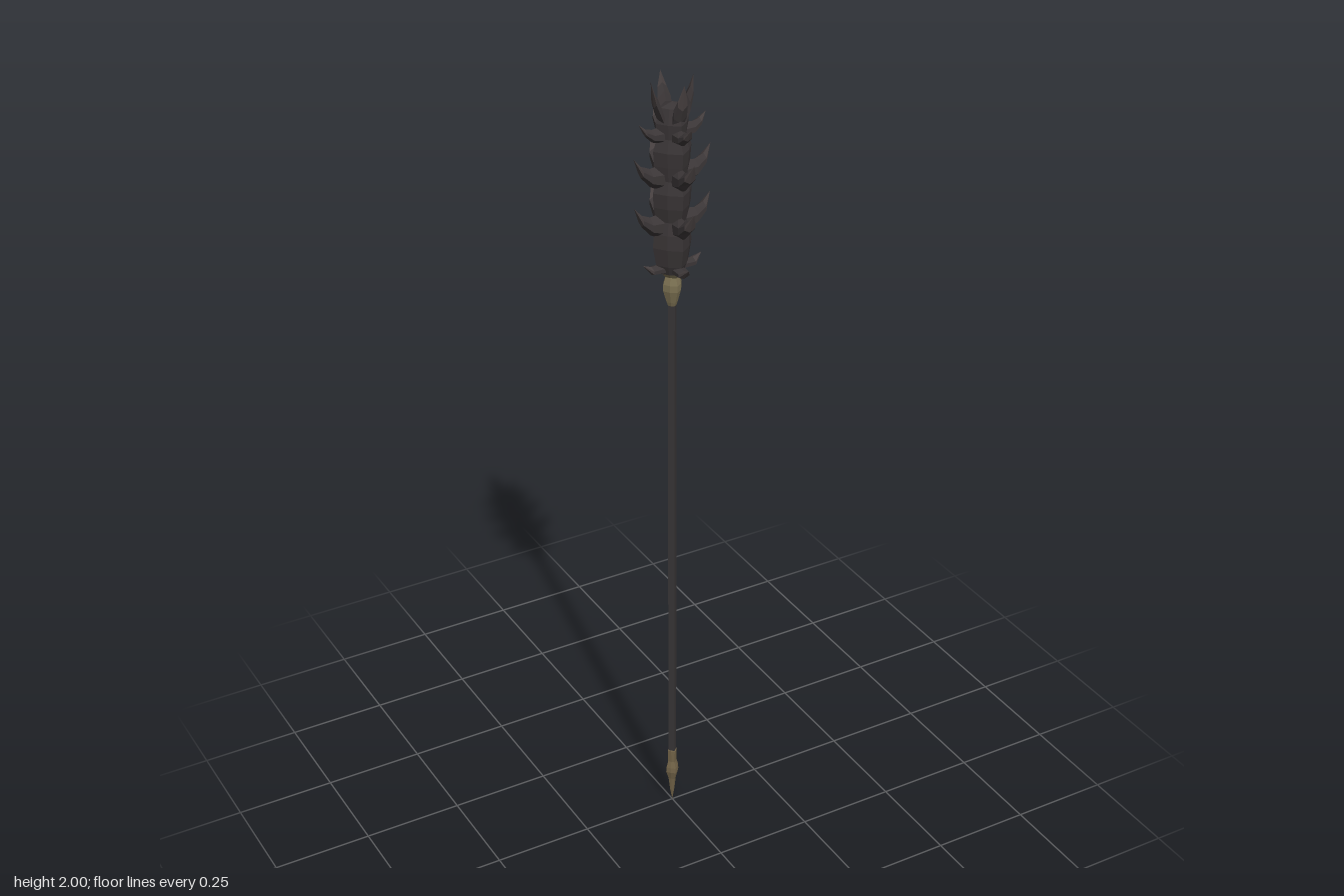
import * as THREE from 'three';

const material = (name, color) =>
  new THREE.MeshStandardMaterial({ name, color, flatShading: true });

// Turned part from [radius, y] points, corners on the axes;
// waist pulls in the diagonal corners of an eight-sided part
function turned(name, points, mat, sides, waist = 1) {
  const geometry = new THREE.LatheGeometry(
    points.map(([r, y]) => new THREE.Vector2(r, y)), sides);
  const p = geometry.attributes.position;
  for (let i = 0; i < p.count; i++) {
    const s = Math.abs(p.getX(i) * p.getZ(i)) > 1e-8 ? waist : 1;
    p.setXYZ(i, p.getX(i) * s, p.getY(i), p.getZ(i) * s);
  }
  geometry.computeVertexNormals();
  const mesh = new THREE.Mesh(geometry, mat);
  mesh.name = name;
  return mesh;
}

// Ridged thorn along +x, lofted from [x, y, halfHeight, halfWidth] sections;
// the last span is the worn tip and takes the second material
function thornGeometry(sections) {
  const outline = [[1, 0], [0.4, 1], [-0.4, 1], [-1, 0], [-0.4, -1], [0.4, -1]];
  const n = outline.length;
  const positions = [];
  const index = [];
  for (const [x, y, h, w] of sections)
    for (const [a, b] of outline) positions.push(x, y + a * h, b * w);
  for (let i = 0; i < sections.length - 1; i++)
    for (let j = 0; j < n; j++) {
      const k = (j + 1) % n;
      const a = i * n + j, b = i * n + k;
      index.push(a, b, b + n, a, b + n, a + n);
    }
  const geometry = new THREE.BufferGeometry();
  geometry.setAttribute('position', new THREE.Float32BufferAttribute(positions, 3));
  geometry.setIndex(index);
  geometry.addGroup(0, index.length - n * 6, 0);
  geometry.addGroup(index.length - n * 6, n * 6, 1);
  geometry.computeVertexNormals();
  return geometry;
}

export function createModel() {
  const darkIron = material('dark iron', 0x3a3536);
  const wornIron = material('worn iron', 0x463f3f);
  const darkShaft = material('dark shaft', 0x383536);
  const agedBrass = material('aged brass', 0x7d7253);
  const bronze = material('bronze', 0x746549);
  const model = new THREE.Group();
  model.name = 'spikedMace';

  // Square shaft, pointed butt and brass collar
  model.add(turned('shaft', [[0.0115, 0.15], [0.0115, 1.47]], darkShaft, 4));
  model.add(turned('buttSpike', [
    [0, 0.003], [0.006, 0.035], [0.011, 0.075], [0.018, 0.098], [0.017, 0.112],
    [0.012, 0.13], [0.013, 0.165], [0, 0.17],
  ], bronze, 8, 0.8));
  model.add(turned('collar', [
    [0.011, 1.445], [0.015, 1.455], [0.024, 1.485], [0.024, 1.502],
    [0.018, 1.52], [0.026, 1.53], [0.026, 1.54], [0, 1.541],
  ], agedBrass, 8, 0.85));

  // Segmented head, each bulge flaring out under a ring of thorns
  model.add(turned('head', [
    [0, 1.53], [0.032, 1.532], [0.042, 1.555], [0.05, 1.60], [0.048, 1.635],
    [0.04, 1.665], [0.048, 1.70], [0.05, 1.735], [0.04, 1.765],
    [0.046, 1.80], [0.049, 1.835], [0.039, 1.865], [0.042, 1.90],
    [0.03, 1.935], [0, 1.945],
  ], darkIron, 8, 0.8));

  // Five tiers of thorns, four to a tier
  const large = [[0.025, 0, 0.033, 0.017], [0.057, 0.006, 0.022, 0.017],
    [0.08, 0.024, 0.014, 0.014], [0.098, 0.059, 0, 0]];
  const medium = [[0.025, 0, 0.022, 0.016], [0.052, 0.003, 0.015, 0.015],
    [0.069, 0.014, 0.009, 0.011], [0.085, 0.036, 0, 0]];
  const small = [[0.025, 0, 0.013, 0.015], [0.054, 0, 0.01, 0.014],
    [0.076, 0.018, 0, 0]];
  const crown = [[0.024, -0.025, 0.022, 0.014], [0.036, 0.005, 0.026, 0.017],
    [0.046, 0.03, 0.018, 0.012], [0.054, 0.075, 0, 0]];
  const tiers = [
    ['baseThorn', 1.544, small],
    ['lowerThorn', 1.65, large],
    ['middleThorn', 1.768, large],
    ['upperThorn', 1.87, medium],
    ['crownThorn', 1.925, crown],
  ];
  for (const [name, y, sections] of tiers) {
    const geometry = thornGeometry(sections);
    for (let i = 0; i < 4; i++) {
      const thorn = new THREE.Mesh(geometry, [darkIron, wornIron]);
      thorn.name = name;
      thorn.position.y = y;
      thorn.rotation.y = i * Math.PI / 2;
      model.add(thorn);
    }
  }
  return model;
}
